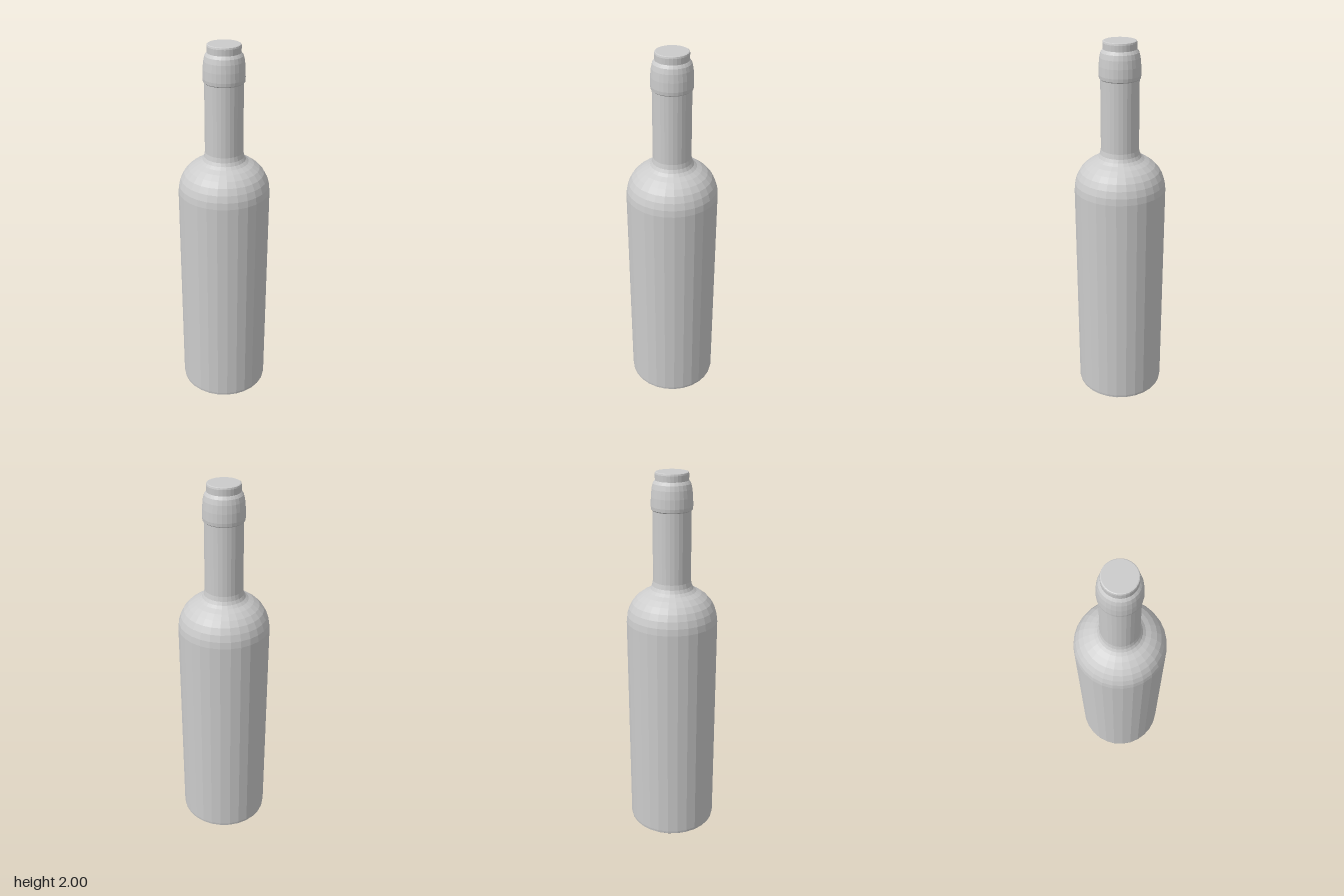
import * as THREE from 'three';

const SIDES = 28;
const material = new THREE.MeshStandardMaterial({ color: 0xcccccc, flatShading: true });

// Turned part from [radius, height] pairs, listed bottom to top
function turned(name, profile) {
  const points = profile.map(([r, y]) => new THREE.Vector2(r, y));
  const mesh = new THREE.Mesh(new THREE.LatheGeometry(points, SIDES), material);
  mesh.name = name;
  return mesh;
}

export function createModel() {
  const group = new THREE.Group();
  group.name = 'bottle';

  // Flat base, straight wall, rounded shoulder and neck in one glass surface
  group.add(turned('glassBody', [
    [0, 0], [0.232, 0], [0.239, 0.006], [0.241, 0.02],
    [0.241, 1.23], [0.237, 1.265], [0.226, 1.30], [0.209, 1.332],
    [0.185, 1.359], [0.155, 1.381], [0.128, 1.395], [0.113, 1.408],
    [0.104, 1.425], [0.099, 1.45], [0.098, 1.82],
  ]));

  // Bulging collar around the mouth
  group.add(turned('collar', [
    [0.097, 1.812], [0.104, 1.818], [0.106, 1.835], [0.105, 1.88],
    [0.101, 1.92], [0.095, 1.945], [0.088, 1.955], [0.084, 1.96],
  ]));

  // Stopper with a flat top
  group.add(turned('stopper', [
    [0.084, 1.955], [0.085, 1.99], [0.083, 1.998], [0.079, 2], [0, 2],
  ]));

  return group;
}
